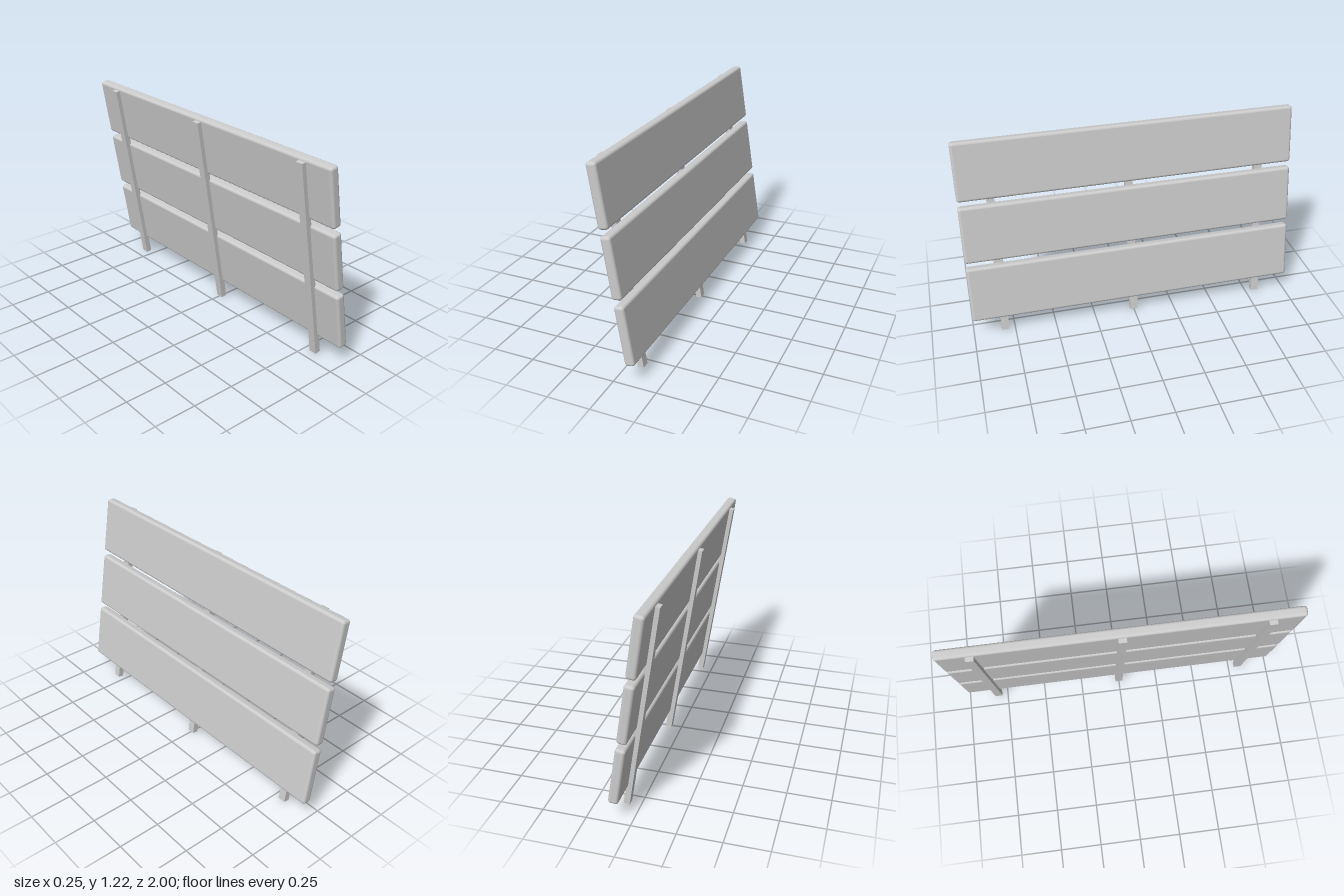
import * as THREE from 'three';
import { RoundedBoxGeometry } from 'three/addons/geometries/RoundedBoxGeometry.js';

const TILT = THREE.MathUtils.degToRad(9);
const POST = { depth: 0.035, length: 1.212, width: 0.046 };
const PLANK = { depth: 0.058, height: 0.349, length: 2, radius: 0.017, pitch: 0.384, bottom: 0.11 };

export function createModel() {
  const model = new THREE.Group();
  model.name = 'slattedBackrest';
  const material = new THREE.MeshStandardMaterial({ color: 0xcccccc });

  // Everything leans back together about the rear foot of the posts
  const frame = new THREE.Group();
  frame.name = 'leaningFrame';
  frame.position.x = 0.062;
  frame.rotation.z = TILT;
  model.add(frame);

  const add = (name, geometry, x, y, z) => {
    const mesh = new THREE.Mesh(geometry, material);
    mesh.name = name;
    mesh.position.set(x, y, z);
    frame.add(mesh);
  };

  // Three slim square-edged posts
  const postGeometry = new THREE.BoxGeometry(POST.depth, POST.length, POST.width);
  [['rear', -0.81], ['middle', 0], ['front', 0.81]].forEach(([side, z]) =>
    add(`${side}Post`, postGeometry, POST.depth / 2, POST.length / 2, z));

  // Three wide planks with rounded edges, let slightly into the posts
  const plankGeometry = new RoundedBoxGeometry(PLANK.depth, PLANK.height, PLANK.length, 4, PLANK.radius);
  ['lower', 'middle', 'upper'].forEach((level, i) =>
    add(`${level}Plank`, plankGeometry, 0.054, PLANK.bottom + PLANK.height / 2 + i * PLANK.pitch, 0));

  return model;
}
